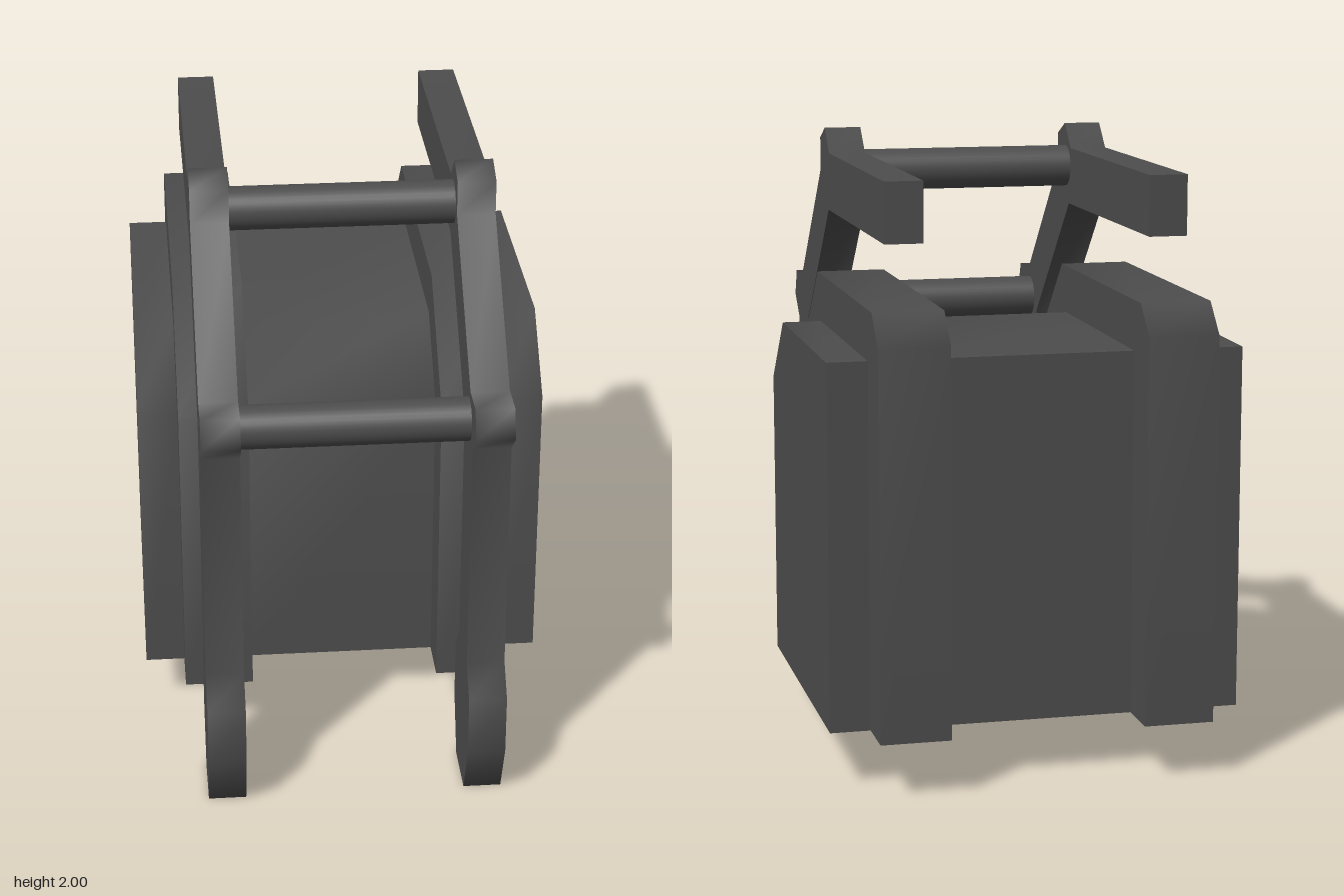
import * as THREE from 'three';
import { mergeGeometries } from 'three/addons/utils/BufferGeometryUtils.js';

// Side profiles as [z, y]; a doubled point keeps that corner sharp
const BODY = [[0.28, 0.188], [0.28, 1.15], [0.06, 1.37], [-0.765, 1.37], [-0.765, 1.37], [-0.765, 0.188]];
const RIDGE = [[0.445, 0.188], [0.445, 1.205], [0.12, 1.53], [-0.83, 1.53], [-0.925, 1.435], [-0.925, 0.188]];

// Bent arm: rail underside, upright, paddle foot, two knobbed elbows, rail top and end
const ARM = [
  [-0.755, 1.727], [0.21, 1.727], [0.65, 1.29], [0.65, 0.485], [0.57, 0.39], [0.57, 0.19],
  [0.65, 0], [0.845, 0], [0.925, 0.19], [0.925, 0.39], [0.845, 0.485], [0.845, 1.27],
  [0.925, 1.34], [0.89, 1.43], [0.77, 1.43], [0.36, 1.85], [0.36, 1.96], [0.27, 2],
  [0.19, 1.92], [-0.755, 1.92], [-0.755, 1.92], [-0.755, 1.727],
];

// Smooth strip joining profile a at x0 to profile b at x1
function ribbon(a, x0, b, x1) {
  const positions = [], index = [];
  a.forEach(([z, y], i) => {
    positions.push(x0, y, z, x1, b[i][1], b[i][0]);
    const k = 2 * i;
    if (i < a.length - 1) index.push(k, k + 1, k + 3, k, k + 3, k + 2);
  });
  const geometry = new THREE.BufferGeometry();
  geometry.setAttribute('position', new THREE.Float32BufferAttribute(positions, 3));
  geometry.setIndex(index);
  geometry.computeVertexNormals();
  return geometry;
}

// Flat side wall at x, facing +x (side 1) or -x (side -1)
function wall(profile, x, side) {
  const shape = new THREE.Shape(profile.map(([z, y]) => new THREE.Vector2(-side * z, y)));
  const geometry = new THREE.ShapeGeometry(shape);
  geometry.deleteAttribute('uv');
  return geometry.rotateY(side * Math.PI / 2).translate(x, 0, 0);
}

// Hollow stepped shell, open underneath
function shellGeometry() {
  const rings = [
    [BODY, -0.67], [BODY, -0.54], [RIDGE, -0.54], [RIDGE, -0.313], [BODY, -0.313],
    [BODY, 0.313], [RIDGE, 0.313], [RIDGE, 0.54], [BODY, 0.54], [BODY, 0.67],
  ];
  const parts = [wall(BODY, -0.67, -1), wall(BODY, 0.67, 1)];
  for (let i = 0; i < rings.length - 1; i++) parts.push(ribbon(...rings[i], ...rings[i + 1]));
  return mergeGeometries(parts);
}

// Arm centred on x = 0
function armGeometry(width) {
  const h = width / 2;
  return mergeGeometries([ribbon(ARM, -h, ARM, h), wall(ARM, -h, -1), wall(ARM, h, 1)]);
}

export function createModel() {
  const model = new THREE.Group();
  model.name = 'framedPack';
  const dark = new THREE.MeshStandardMaterial({ color: 0x4d4d4d });
  const darkOpen = new THREE.MeshStandardMaterial({ color: 0x4d4d4d, side: THREE.DoubleSide });

  const add = (name, geometry, material, x = 0, y = 0, z = 0) => {
    const mesh = new THREE.Mesh(geometry, material);
    mesh.name = name;
    mesh.position.set(x, y, z);
    model.add(mesh);
  };

  add('shell', shellGeometry(), darkOpen);

  // Pair of arms
  const arm = armGeometry(0.123);
  add('leftArm', arm, dark, 0.422);
  add('rightArm', arm, dark, -0.422);

  // Round cross bars joining the elbows
  const bar = new THREE.CylinderGeometry(0.07, 0.07, 0.75, 32).rotateZ(Math.PI / 2);
  add('lowerCrossBar', bar, dark, 0, 1.33, 0.755);
  add('upperCrossBar', bar, dark, 0, 1.855, 0.26);

  return model;
}
